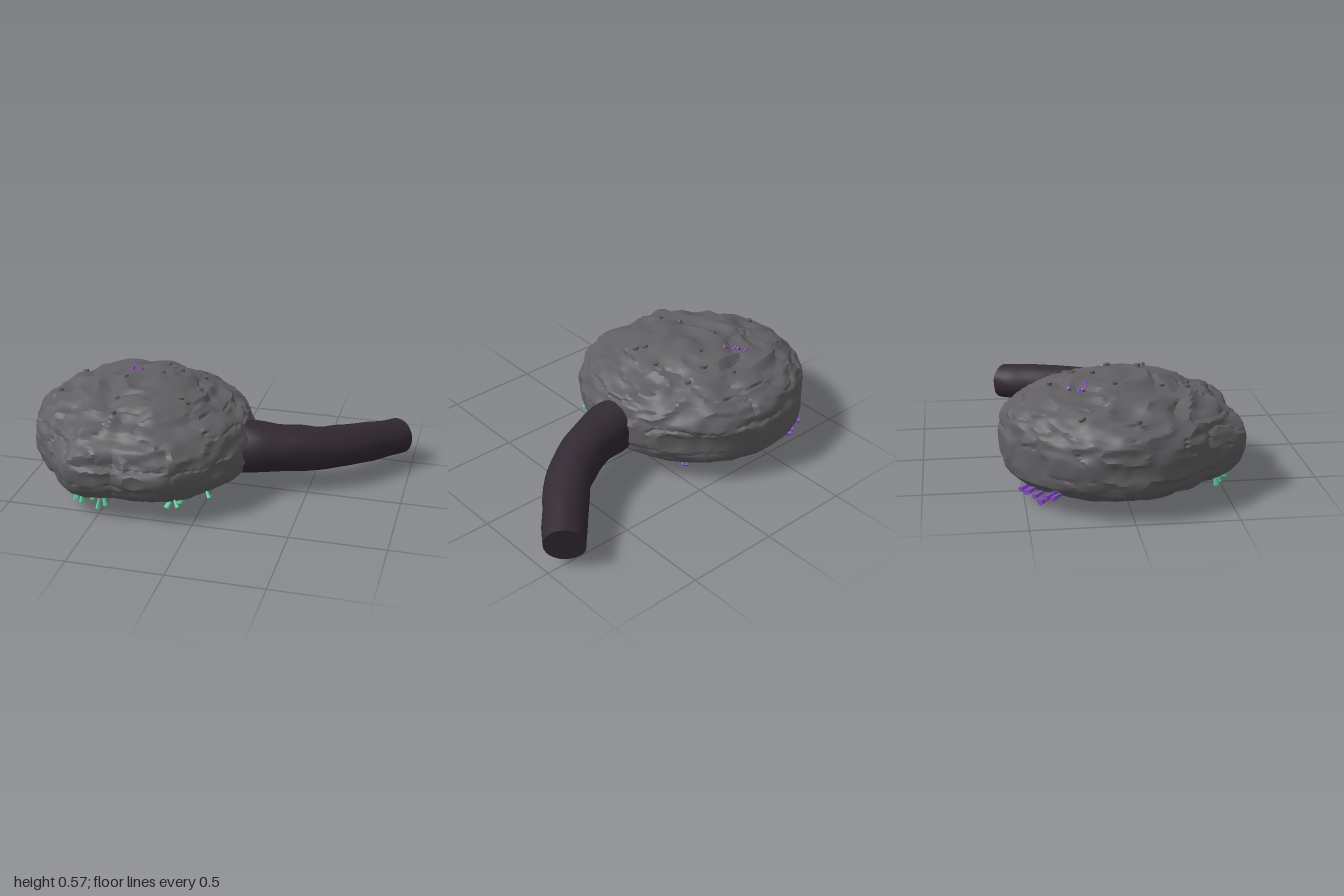
import * as THREE from 'three';
import { mergeVertices, toCreasedNormals } from 'three/addons/utils/BufferGeometryUtils.js';

const mat = (name, color) => {
  const m = new THREE.MeshStandardMaterial({ color });
  m.name = name;
  return m;
};

// Smooth value noise in -1..1
const hash = (x, y, z) => {
  const s = Math.sin(x * 127.1 + y * 311.7 + z * 74.7) * 43758.5453;
  return s - Math.floor(s);
};
function noise(x, y, z) {
  const i = Math.floor(x), j = Math.floor(y), k = Math.floor(z);
  const [u, v, w] = [x - i, y - j, z - k].map((t) => t * t * (3 - 2 * t));
  const mix = THREE.MathUtils.lerp;
  const row = (b, c) => mix(hash(i, j + b, k + c), hash(i + 1, j + b, k + c), u);
  return mix(mix(row(0, 0), row(1, 0), v), mix(row(0, 1), row(1, 1), v), w) * 2 - 1;
}

// Plan radius of the boulder every 22.5 degrees, from +x towards +z
const PLAN = [0.6, 0.605, 0.615, 0.63, 0.59, 0.635, 0.565, 0.585,
  0.6, 0.605, 0.6, 0.61, 0.6, 0.605, 0.585, 0.585];
function planRadius(angle) {
  const a = ((angle / (Math.PI * 2)) * 16 + 16) % 16;
  const i = Math.floor(a);
  return THREE.MathUtils.lerp(PLAN[i % 16], PLAN[(i + 1) % 16], a - i);
}

// Boulder: a flattened sphere, fuller at the back and left, with lumps and cracks
function rockGeometry() {
  let g = new THREE.IcosahedronGeometry(1, 26);
  g.deleteAttribute('uv');
  g.deleteAttribute('normal');
  g = mergeVertices(g, 1e-4);
  const p = g.attributes.position;
  const d = new THREE.Vector3();
  for (let i = 0; i < p.count; i++) {
    d.fromBufferAttribute(p, i).normalize();
    const { x, y, z } = d;
    const up = y > 0;
    const flat = Math.hypot(x, z);
    const angle = Math.atan2(z, x);
    // Squareness of the section, blended across the equator
    const blend = THREE.MathUtils.smoothstep(y, -0.2, 0.2);
    const e = THREE.MathUtils.lerp(0.62 + 0.07 * z, 0.78 + 0.1 * z + 0.04 * x, blend);
    const lumps = noise(x * 4 + 9, y * 4 + 3, z * 4 + 5) * 0.02;
    const ridge = (0.35 - Math.abs(noise(x * 5 + 20, y * 5 + 7, z * 5 + 1))) * 0.035;
    const vein = Math.abs(noise(x * 3.5 + 40, y * 3.5 + 8, z * 3.5 + 30));
    const crack = -0.014 * Math.max(0, 1 - vein / 0.1);
    const grit = noise(x * 11, y * 11, z * 11) * 0.008;
    const k = (lumps + ridge + crack + grit) * THREE.MathUtils.lerp(0.5, 1, blend);
    const r = planRadius(angle) * Math.pow(flat, e) + k * flat * 0.8;
    const h = (up ? 0.272 : 0.21) * Math.pow(Math.abs(y), e) + k * Math.abs(y);
    const px = -0.4 + r * Math.cos(angle), pz = r * Math.sin(angle);
    // Broad crown with a small peak
    const q = (px + 0.34) ** 2 + (pz + 0.02) ** 2;
    const peak = up ? 0.042 * Math.exp(-q / 0.045) + 0.035 * Math.exp(-q / 0.004) : 0;
    p.setXYZ(i, px, 0.25 + (up ? h : -h) + peak, pz);
  }
  return toCreasedNormals(g, 0.4);
}

// Curved tunnel, tapering along its path, with a flat cap at the far end
function tunnelGeometry() {
  const path = new THREE.CatmullRomCurve3([
    [0.02, 0.228, 0], [0.22, 0.23, -0.012], [0.45, 0.218, -0.085],
    [0.63, 0.194, -0.2], [0.78, 0.168, -0.36], [0.912, 0.146, -0.525],
  ].map((v) => new THREE.Vector3(...v)));
  const g = new THREE.CylinderGeometry(1, 1, 1, 24, 28);
  const p = g.attributes.position;
  const up = new THREE.Vector3(0, 1, 0);
  for (let i = 0; i < p.count; i++) {
    const t = THREE.MathUtils.clamp(p.getY(i) + 0.5, 0, 1);
    const c = path.getPointAt(t);
    const tan = path.getTangentAt(t);
    const side = new THREE.Vector3().crossVectors(up, tan).normalize();
    const top = new THREE.Vector3().crossVectors(tan, side);
    const x = p.getX(i), z = p.getZ(i);
    const bump = 1 + 0.07 * noise(x * 1.6 + 5, t * 10, z * 1.6 + 5);
    const r = (t < 0.3 ? 0.157 - t * 0.1 : 0.127 - (t - 0.3) * 0.027) * bump;
    const h = r * (1 - 0.1 * t);
    c.addScaledVector(side, x * r).addScaledVector(top, -z * h);
    p.setXYZ(i, c.x, c.y, c.z);
  }
  g.deleteAttribute('uv');
  return toCreasedNormals(g, 0.5);
}

export function createModel() {
  const model = new THREE.Group();
  const stone = mat('stone grey', 0x615f62);
  const dark = mat('dark tunnel', 0x322932);
  const green = mat('green crystal', 0x56cc95);
  const purple = mat('purple crystal', 0x894dc6);

  const add = (name, geo, material, parent = model) => {
    const m = new THREE.Mesh(geo, material);
    m.name = name;
    parent.add(m);
    return m;
  };
  const group = (name) => {
    const g = new THREE.Group();
    g.name = name;
    model.add(g);
    return g;
  };

  const rock = add('boulder', rockGeometry(), stone);
  add('tunnel', tunnelGeometry(), dark);

  // Point and normal of the boulder straight above or below a spot
  const ray = new THREE.Raycaster();
  const surface = (x, z, sign) => {
    ray.set(new THREE.Vector3(x, sign * 3, z), new THREE.Vector3(0, -sign, 0));
    const hit = ray.intersectObject(rock)[0];
    return { point: hit.point, normal: hit.face.normal };
  };
  const UP = new THREE.Vector3(0, 1, 0);

  // Flat pebbles stuck to the top and the underside
  const pebbles = group('pebbles');
  const scatter = (spots, sign) => spots.forEach(([x, z, r]) => {
    const s = surface(x, z, sign);
    const geo = new THREE.CylinderGeometry(r * 0.85, r, 0.028, 8).toNonIndexed();
    geo.computeVertexNormals();
    const m = add('pebble', geo, stone, pebbles);
    m.position.copy(s.point);
    m.quaternion.setFromUnitVectors(UP, s.normal);
  });
  scatter([[-0.81, -0.23, 0.02], [-0.26, -0.23, 0.024], [-0.13, -0.25, 0.02],
    [-0.36, -0.35, 0.017], [-0.1, -0.03, 0.02], [-0.16, 0.12, 0.019],
    [-0.12, 0.15, 0.019], [-0.46, 0.33, 0.016], [-0.86, 0.03, 0.018],
    [-0.51, -0.04, 0.015], [-0.33, -0.13, 0.015], [-0.48, 0.2, 0.015]], 1);
  scatter([[-0.4, 0, 0.028], [-0.22, -0.22, 0.028], [-0.5, -0.08, 0.026],
    [-0.3, 0.14, 0.026], [-0.62, -0.31, 0.024], [-0.25, -0.06, 0.032],
    [-0.58, 0.1, 0.022], [-0.14, 0.15, 0.02], [-0.4, -0.31, 0.024],
    [-0.72, -0.05, 0.02]], -1);

  // Crystals: six-sided, narrow at the root and wide at the outer end
  const crystal = (parent, material, [x, y, z], dir, len, r) => {
    const geo = new THREE.CylinderGeometry(r, r * 0.5, len, 6).toNonIndexed();
    geo.computeVertexNormals();
    const m = add('crystal', geo, material, parent);
    m.position.set(x, y, z);
    m.quaternion.setFromUnitVectors(UP, new THREE.Vector3(...dir).normalize());
  };

  const greens = group('greenCrystals');
  [[-0.64, 0.065, 0.45], [-0.62, 0.1, 0.5], [-0.6, 0.065, 0.47], [-0.56, 0.065, 0.43],
    [-0.5, 0.055, 0.5], [-0.48, 0.055, 0.46]].forEach((p, i) =>
    crystal(greens, green, p, [i % 2 ? 0.25 : -0.1, -1, 0.2], 0.05, 0.015));
  crystal(greens, green, [-0.54, 0.065, 0.39], [0.6, -0.5, -0.5], 0.045, 0.013);
  crystal(greens, green, [-0.45, 0.045, 0.25], [0.2, -1, 0], 0.03, 0.01);
  [[-0.14, 0.08, 0.46], [-0.11, 0.072, 0.4], [-0.12, 0.1, 0.5], [-0.08, 0.115, 0.51],
    [-0.09, 0.065, 0.37], [0.05, 0.115, 0.37]].forEach((p, i) =>
    crystal(greens, green, p, [i % 2 ? 0.5 : -0.3, -0.6, 0.5], 0.045, 0.012));

  // Purple crystals fan out almost level from the back left underside
  const purples = group('purpleCrystals');
  const outward = [-0.68, -0.12, -0.72];
  crystal(purples, purple, [-0.66, 0.024, -0.385], outward, 0.13, 0.018);
  [[-0.72, 0.07, -0.43], [-0.67, 0.075, -0.47], [-0.77, 0.08, -0.38], [-0.63, 0.075, -0.49],
    [-0.73, 0.1, -0.46], [-0.81, 0.09, -0.35]].forEach((p) =>
    crystal(purples, purple, p, outward, 0.085, 0.015));
  [[-0.4, 0.04, -0.17], [-0.44, 0.04, -0.19], [-0.48, 0.04, -0.21]].forEach((p) =>
    crystal(purples, purple, p, [-0.2, -1, -0.2], 0.025, 0.007));

  // Small sprouts on the crown and under the back right rim
  const sprout = (x, z, sign, dir) =>
    crystal(purples, purple, surface(x, z, sign).point.toArray(), dir, 0.05, 0.008);
  [[-0.53, -0.26], [-0.54, -0.22], [-0.52, -0.19], [-0.48, -0.18]].forEach(([x, z], i) =>
    sprout(x, z, 1, i % 2 ? [0.8, 0.7, 0.1] : [-0.5, 0.7, -0.5]));
  sprout(-0.03, -0.37, -1, [0.6, -0.4, -0.5]);
  sprout(-0.01, -0.35, -1, [0.3, -0.5, -0.7]);

  return model;
}
